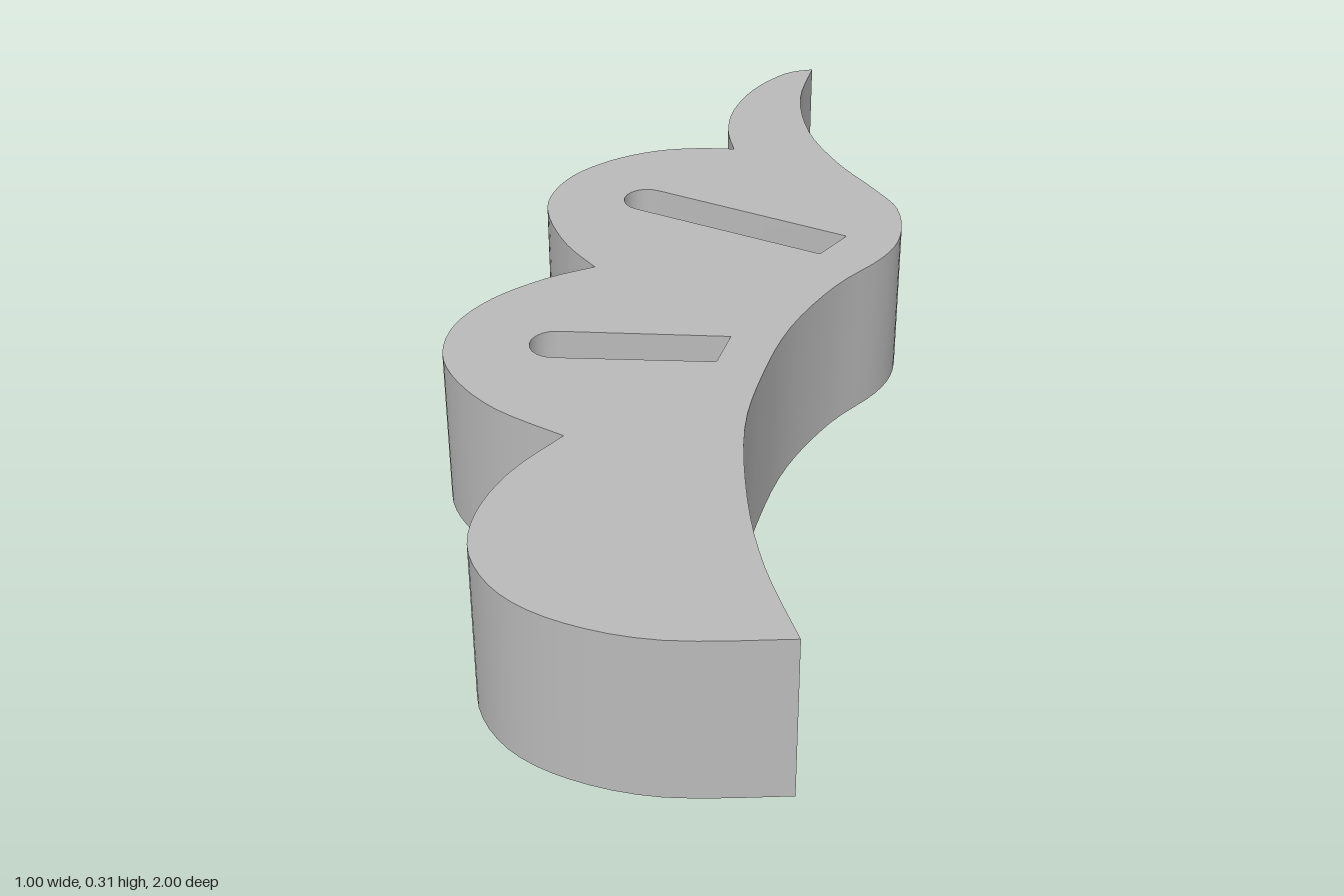
import * as THREE from 'three';
import { mergeGeometries, toCreasedNormals } from 'three/addons/utils/BufferGeometryUtils.js';

const HEIGHT = 0.31;
const FLOOR = 0.25; // level of the slot floors

// Outline in plan (x, z): one smooth run per scallop, sharp where runs meet
const RUNS = [
  [[0.497, -1], [0.43, -0.99], [0.34, -0.92], [0.27, -0.82], [0.235, -0.72], [0.227, -0.63]],
  [[0.227, -0.63], [0.15, -0.65], [0.06, -0.655], [-0.04, -0.63], [-0.13, -0.575], [-0.19, -0.49],
    [-0.206, -0.4], [-0.19, -0.28], [-0.152, -0.18]],
  [[-0.152, -0.18], [-0.25, -0.155], [-0.36, -0.1], [-0.44, -0.02], [-0.475, 0.08], [-0.46, 0.18],
    [-0.405, 0.285], [-0.305, 0.39]],
  [[-0.305, 0.39], [-0.41, 0.48], [-0.48, 0.585], [-0.503, 0.69], [-0.47, 0.8], [-0.385, 0.89],
    [-0.25, 0.96], [-0.05, 1]],
  [[-0.05, 1], [-0.06, 0.82], [-0.045, 0.64], [0, 0.43], [0.07, 0.27], [0.16, 0.12], [0.28, -0.01],
    [0.4, -0.1], [0.46, -0.18], [0.487, -0.29], [0.465, -0.39], [0.425, -0.52], [0.405, -0.68],
    [0.43, -0.85], [0.497, -1]],
];

function outline() {
  return RUNS.flatMap((run) => {
    const curve = new THREE.SplineCurve(run.map(([x, z]) => new THREE.Vector2(x, z)));
    return curve.getPoints((run.length - 1) * 4).slice(0, -1);
  });
}

// Slot with one round end and two straight corners
function slot(cx, cz, r, angle, corners) {
  const points = corners.map(([x, z]) => new THREE.Vector2(x, z));
  for (let i = 0; i <= 10; i++) {
    const a = angle + Math.PI / 2 + (Math.PI * i) / 10;
    points.push(new THREE.Vector2(cx + r * Math.cos(a), cz + r * Math.sin(a)));
  }
  return points;
}

// Flat horizontal face, looking up or down
function face(points, y, up, holes = []) {
  const flip = (list) => list.map((p) => new THREE.Vector2(p.x, up ? -p.y : p.y));
  const shape = new THREE.Shape(flip(points));
  shape.holes = holes.map((h) => new THREE.Path(flip(h)));
  const geometry = new THREE.ShapeGeometry(shape).toNonIndexed();
  geometry.rotateX(up ? -Math.PI / 2 : Math.PI / 2).translate(0, y, 0);
  geometry.deleteAttribute('uv');
  return geometry;
}

// Upright wall along a closed loop
function wall(points, y0, y1) {
  const positions = [];
  points.forEach((a, i) => {
    const b = points[(i + 1) % points.length];
    positions.push(a.x, y0, a.y, b.x, y0, b.y, b.x, y1, b.y);
    positions.push(a.x, y0, a.y, b.x, y1, b.y, a.x, y1, a.y);
  });
  const geometry = new THREE.BufferGeometry();
  geometry.setAttribute('position', new THREE.Float32BufferAttribute(positions, 3));
  geometry.computeVertexNormals();
  return geometry;
}

export function createModel() {
  const group = new THREE.Group();
  group.name = 'scallopedBlock';
  const grey = new THREE.MeshStandardMaterial({ color: 0xbababa });
  grey.name = 'grey';

  const add = (name, parts) => {
    const mesh = new THREE.Mesh(toCreasedNormals(mergeGeometries(parts), 0.6), grey);
    mesh.name = name;
    group.add(mesh);
  };

  const edge = outline();
  const slots = {
    backSlot: slot(0, -0.437, 0.046, 0.695, [[0.355, -0.2], [0.285, -0.14]]),
    frontSlot: slot(-0.273, 0.09, 0.046, 0.27, [[0.045, 0.13], [0, 0.21]]),
  };

  // Solid body, open at the top where the slots sink in
  add('body', [
    face(edge, HEIGHT, true, Object.values(slots)),
    face(edge, 0, false),
    wall(edge, 0, HEIGHT),
  ]);

  // Blind slots
  for (const [name, points] of Object.entries(slots)) {
    add(name, [face(points, FLOOR, true), wall(points, FLOOR, HEIGHT)]);
  }
  return group;
}
